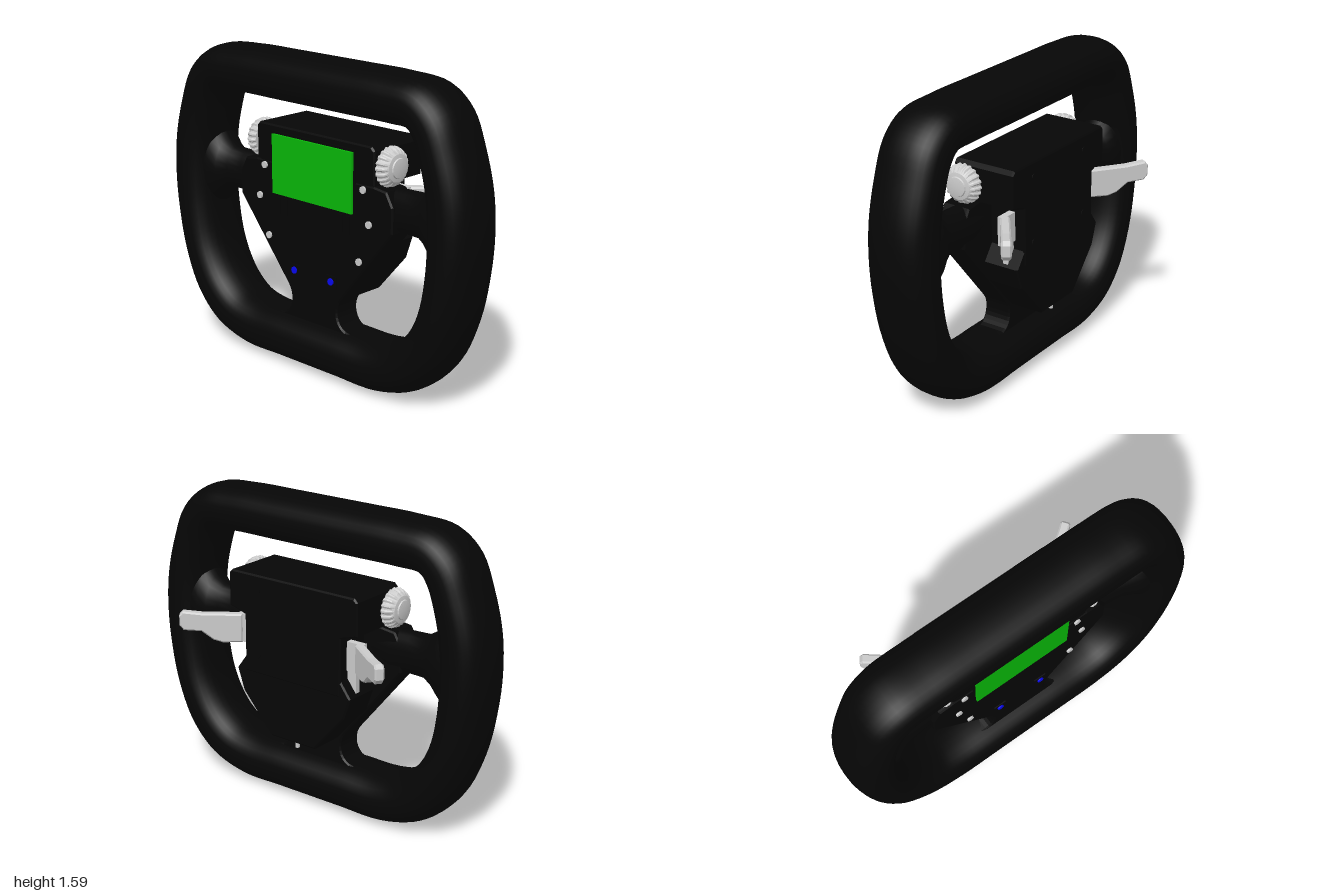
import * as THREE from 'three';
import { toCreasedNormals } from 'three/addons/utils/BufferGeometryUtils.js';

const mat = (color) => new THREE.MeshStandardMaterial({ color });
const black = mat(0x060606), grey = mat(0xcccccc), green = mat(0x08b808), blue = mat(0x0808f0);
const V = (x, y, z = 0) => new THREE.Vector3(x, y, z);

function add(parent, name, geometry, material, x = 0, y = 0, z = 0) {
  const m = new THREE.Mesh(geometry, material);
  m.name = name;
  m.position.set(x, y, z);
  parent.add(m);
  return m;
}

// Skin over rings of points, all with the same count
function loft(rings, closed) {
  const n = rings[0].length, pos = [], idx = [];
  rings.forEach((r) => r.forEach((p) => pos.push(p.x, p.y, p.z)));
  const count = closed ? rings.length : rings.length - 1;
  for (let i = 0; i < count; i++) {
    const a = i * n, b = ((i + 1) % rings.length) * n;
    for (let j = 0; j < n; j++) {
      const k = (j + 1) % n;
      idx.push(a + j, b + k, b + j, a + j, a + k, b + k);
    }
  }
  const g = new THREE.BufferGeometry();
  g.setAttribute('position', new THREE.Float32BufferAttribute(pos, 3));
  g.setIndex(idx);
  g.computeVertexNormals();
  return g;
}

// Right half of an outline mirrored into a closed shape
function mirroredShape(half) {
  const other = half.slice().reverse().map(([x, y]) => [-x, y]);
  return new THREE.Shape([...half, ...other].map(([x, y]) => new THREE.Vector2(x, y)));
}

function slab(shape, z0, z1, bevel = 0.008) {
  const g = new THREE.ExtrudeGeometry(shape, {
    depth: z1 - z0 - 2 * bevel, bevelThickness: bevel, bevelSize: bevel,
    bevelOffset: -bevel, bevelSegments: 1, curveSegments: 10,
  });
  return g.translate(0, 0, z0 + bevel);
}

// Rim: oval section swept between an outer and an inner outline
function rimGeometry() {
  const outer = [[0, 1.59], [.25, 1.59], [.5, 1.588], [.71, 1.565], [.85, 1.46], [.93, 1.28], [.985, 1.08], [1, .9],
    [.985, .7], [.93, .44], [.83, .22], [.67, .07], [.45, .002], [.2, 0], [0, 0]];
  const inner = [[0, 1.345], [.25, 1.345], [.5, 1.345], [.64, 1.335], [.675, 1.28], [.705, 1.19], [.73, 1.08], [.745, .9],
    [.74, .7], [.7, .5], [.62, .36], [.52, .28], [.4, .252], [.2, .25], [0, .25]];
  const ring = (h) => new THREE.CatmullRomCurve3(
    [...h, ...h.slice(1, -1).reverse().map(([x, y]) => [-x, y])].map(([x, y]) => V(x, y)), true);
  const o = ring(outer), i = ring(inner), rings = [];
  const soft = (v) => Math.sign(v) * Math.abs(v) ** 0.87;
  for (let s = 0; s < 140; s++) {
    const a = o.getPoint(s / 140), b = i.getPoint(s / 140);
    const c = a.clone().add(b).multiplyScalar(0.5), h = a.clone().sub(b).multiplyScalar(0.5);
    rings.push(Array.from({ length: 32 }, (_, k) => {
      const t = (k / 32) * Math.PI * 2;
      return V(c.x + h.x * soft(Math.cos(t)), c.y + h.y * soft(Math.cos(t)), 0.125 + 0.175 * soft(Math.sin(t)));
    }));
  }
  return loft(rings, true);
}

// Side spoke: oval sections [x, centre y, half height, half depth] flaring into the rim
function spokeGeometry() {
  const sections = [[.34, .92, .1, .06], [.45, .91, .115, .07], [.55, .92, .108, .075],
    [.64, .92, .11, .085], [.7, .92, .145, .11], [.745, .92, .2, .13], [.8, .92, .22, .13]];
  return loft(sections.map(([x, y, h, d]) => Array.from({ length: 24 }, (_, k) => {
    const t = (k / 24) * Math.PI * 2;
    return V(x, y + h * Math.cos(t), d * Math.sin(t));
  })), false);
}

// Fluted thumb wheel, domed towards its outer end
function knobGeometry() {
  const profile = [[0, 0], [.085, 0], [.1, .012], [.1, .03], [.088, .055], [.068, .07], [.05, .074], [.047, .08], [0, .084]];
  const g = new THREE.LatheGeometry(profile.map(([r, y]) => new THREE.Vector2(r, y)), 80);
  const p = g.attributes.position;
  for (let i = 0; i < p.count; i++) {
    const x = p.getX(i), z = p.getZ(i);
    const step = Math.round((Math.atan2(z, x) / (Math.PI * 2)) * 80 + 80) % 4;
    const f = Math.hypot(x, z) > 0.08 && step > 1 ? 0.93 : 1;
    p.setXYZ(i, x * f, p.getY(i), z * f);
  }
  return toCreasedNormals(g, 0.4);
}

export function createModel() {
  const model = new THREE.Group();
  model.name = 'steeringWheel';
  add(model, 'rim', rimGeometry(), black);

  // Hub plate running down into the bottom spoke
  const plate = new THREE.Shape();
  plate.moveTo(-0.4, 1.03);
  plate.lineTo(0.4, 1.03);
  plate.lineTo(0.48, 1.02);
  plate.lineTo(0.52, 0.95);
  plate.lineTo(0.52, 0.82);
  plate.lineTo(0.185, 0.41);
  plate.bezierCurveTo(0.14, 0.36, 0.15, 0.25, 0.24, 0.245);
  plate.lineTo(0.24, 0.18);
  plate.lineTo(-0.24, 0.18);
  plate.lineTo(-0.24, 0.245);
  plate.bezierCurveTo(-0.15, 0.25, -0.14, 0.36, -0.185, 0.41);
  plate.lineTo(-0.52, 0.82);
  plate.lineTo(-0.52, 0.95);
  plate.lineTo(-0.48, 1.02);
  add(model, 'hubPlate', slab(plate, 0.05, 0.2), black);

  // Electronics housing and rear cover
  const housing = mirroredShape([[.38, 1.22], [.4, 1.2], [.4, 1.03], [.3, 1.0], [.3, .7]]);
  add(model, 'housing', slab(housing, -0.145, 0.195), black);
  const cover = mirroredShape([[.3, .78], [.36, .7], [.32, .585], [.14, .38]]);
  add(model, 'rearCover', slab(cover, -0.14, 0.06), black);

  // Display
  add(model, 'displayFrame', new THREE.BoxGeometry(0.57, 0.33, 0.01), black, 0, 1.025, 0.197);
  add(model, 'display', new THREE.BoxGeometry(0.545, 0.305, 0.03), green, 0, 1.025, 0.2);

  // Cable plug under the housing
  add(model, 'cablePlug', new THREE.CylinderGeometry(0.012, 0.012, 0.08, 12), grey, 0, 0.38, -0.097);

  const spoke = spokeGeometry(), knob = knobGeometry();
  const disc = (r, d) => new THREE.CylinderGeometry(r, r, d, 16).rotateX(Math.PI / 2);
  const screw = disc(0.018, 0.02), lamp = disc(0.018, 0.024), bolt = disc(0.02, 0.01);
  const paddleOutline = [[0, .825], [.1, .82], [.15, .835], [.21, .88], [.3, .885], [.322, .91], [.322, .965], [.305, .985], [.2, .975], [0, .975]];

  for (const side of [1, -1]) {
    const s = add(model, 'sideSpoke', spoke, black, 0, 0, 0.11);
    if (side < 0) s.rotation.y = Math.PI;

    // Thumb wheel and its shaft
    const wheel = add(model, 'thumbWheel', knob, grey, side * 0.41, 1.12, 0.114);
    const shaft = add(model, 'thumbWheelShaft', new THREE.CylinderGeometry(0.03, 0.03, 0.05, 16), grey, side * 0.4, 1.12, 0.114);
    wheel.rotation.z = shaft.rotation.z = -side * Math.PI / 2;

    // Shift paddle: flat root, swept-back blade and lower tab
    const paddle = new THREE.Group();
    paddle.name = 'shiftPaddle';
    model.add(paddle);
    const blade = new THREE.Shape(paddleOutline.map(([x, y]) => new THREE.Vector2(side * x, y)));
    add(paddle, 'blade', slab(blade, -0.024, 0.024, 0.008), grey, side * 0.37, 0, -0.08).rotation.y = side * 0.64;
    add(paddle, 'root', new THREE.BoxGeometry(0.12, 0.15, 0.035), grey, side * 0.335, 0.9, -0.072);
    add(paddle, 'tab', new THREE.BoxGeometry(0.06, 0.14, 0.03), grey, side * 0.32, 0.765, -0.065);

    // Screws, lamps, small buttons and rear bolts
    for (const [x, y] of [[.337, 1.005], [.375, .84], [.312, .64]]) add(model, 'screw', screw, grey, side * x, y, 0.2);
    add(model, 'lampBase', new THREE.BoxGeometry(0.07, 0.06, 0.016), black, side * 0.127, 0.495, 0.198);
    add(model, 'lamp', lamp, blue, side * 0.127, 0.495, 0.201);
    for (const x of [.19, .24]) add(model, 'button', new THREE.BoxGeometry(0.025, 0.09, 0.02), black, side * x, 0.81, 0.198);
    for (const y of [.8, 1.14]) add(model, 'rearBolt', bolt, black, side * 0.22, y, -0.142);
  }
  return model;
}
